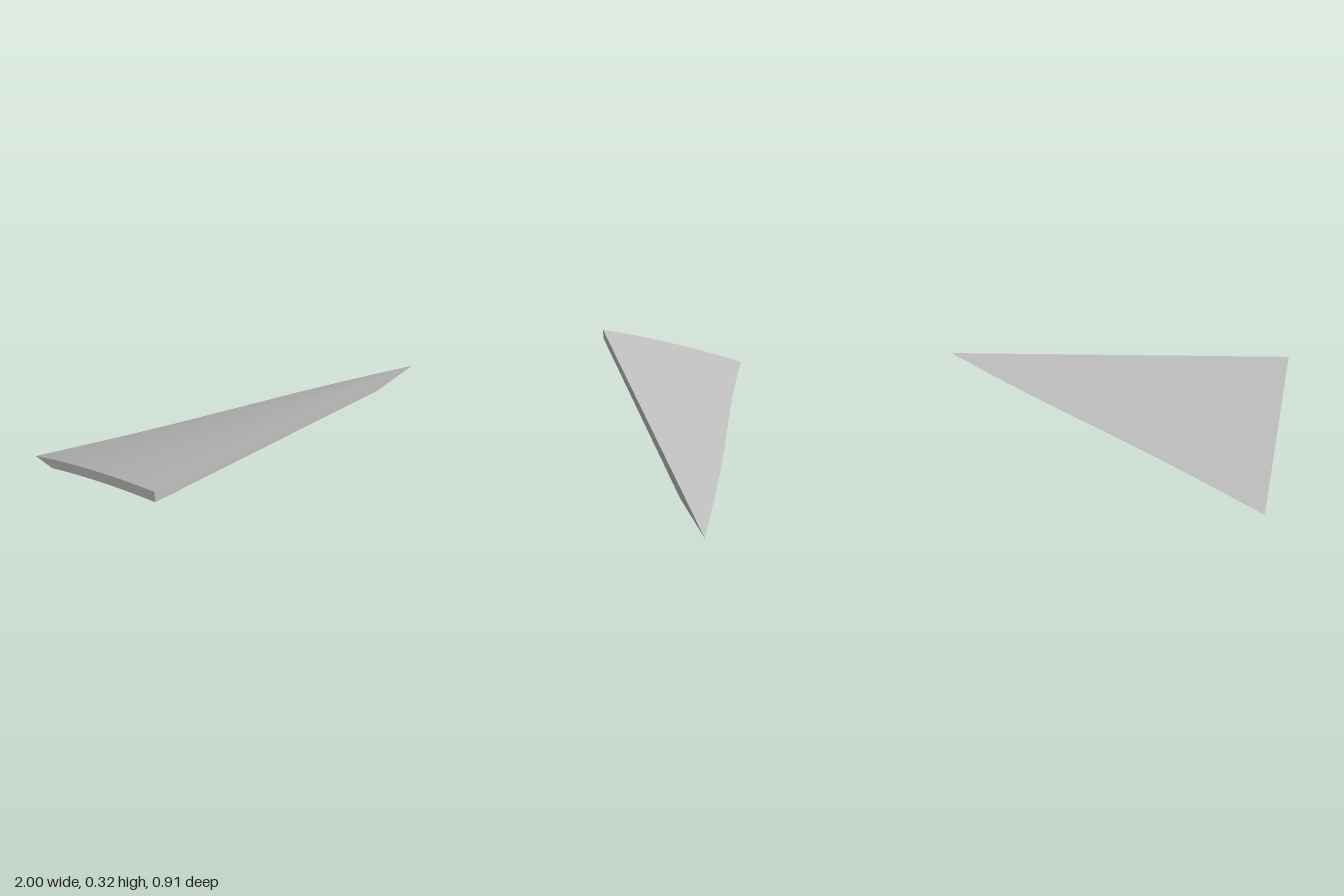
import * as THREE from 'three';

const FRONT = 0.457;   // z of the straight front edge
const THICK = 0.0576;  // vertical thickness of the panel
const BEND = 0.23;     // bulge of the cross-section

// Height of the front edge, and z of the gently waved rear edge, at x
const ridge = (x) => 0.16 * (1 - x);
const rear = (x) => FRONT * x - 0.009 * Math.sin(Math.PI * x);
const zAt = (x, t) => rear(x) + (FRONT - rear(x)) * t;
// Upper surface: t runs from rear edge (0) to front edge (1)
const topY = (x, t) => ridge(x) * ((1 + BEND) * t - BEND * t * t);
const lowY = (x, t) => Math.max(0, topY(x, t) - THICK);
// Where the sloping underside meets the ground plane
function fold(x) {
  const k = ridge(x) <= THICK ? 1 : THICK / ridge(x);
  const b = 1 + BEND;
  return Math.min(1, (b - Math.sqrt(b * b - 4 * BEND * k)) / (2 * BEND));
}

// Grid surface whose front faces along du x dv
function patch(name, material, nu, nv, point) {
  const positions = [], index = [];
  for (let i = 0; i <= nu; i++)
    for (let j = 0; j <= nv; j++) positions.push(...point(i / nu, j / nv));
  for (let i = 0; i < nu; i++)
    for (let j = 0; j < nv; j++) {
      const a = i * (nv + 1) + j, b = a + nv + 1;
      index.push(a, b, a + 1, b, b + 1, a + 1);
    }
  const geometry = new THREE.BufferGeometry();
  geometry.setAttribute('position', new THREE.Float32BufferAttribute(positions, 3));
  geometry.setIndex(index);
  geometry.computeVertexNormals();
  const mesh = new THREE.Mesh(geometry, material);
  mesh.name = name;
  return mesh;
}

export function createModel() {
  const group = new THREE.Group();
  group.name = 'curvedPanel';
  const grey = new THREE.MeshStandardMaterial({ color: 0xc0c0c0 });
  grey.name = 'light grey';
  const X = (u) => -1 + 2 * u;

  group.add(
    // Curved upper skin
    patch('upperSkin', grey, 24, 50, (t, u) => [X(u), topY(X(u), t), zAt(X(u), t)]),
    // Flat strip resting on the ground
    patch('groundStrip', grey, 50, 4, (u, v) => [X(u), 0, zAt(X(u), v * fold(X(u)))]),
    // Sloping underside, ending where the front edge meets the ground
    patch('underside', grey, 41, 20, (u, v) => {
      const x = -1 + 1.64 * u, f = fold(x), t = f + (1 - f) * v;
      return [x, lowY(x, t), zAt(x, t)];
    }),
    // Thin front face
    patch('frontEdge', grey, 50, 1, (u, v) => {
      const x = X(u), low = lowY(x, 1);
      return [x, low + (ridge(x) - low) * v, FRONT];
    }),
    // Thin curved end face
    patch('endEdge', grey, 48, 1, (t, v) => {
      const low = lowY(-1, t);
      return [-1, low + (topY(-1, t) - low) * v, zAt(-1, t)];
    }),
  );
  return group;
}
